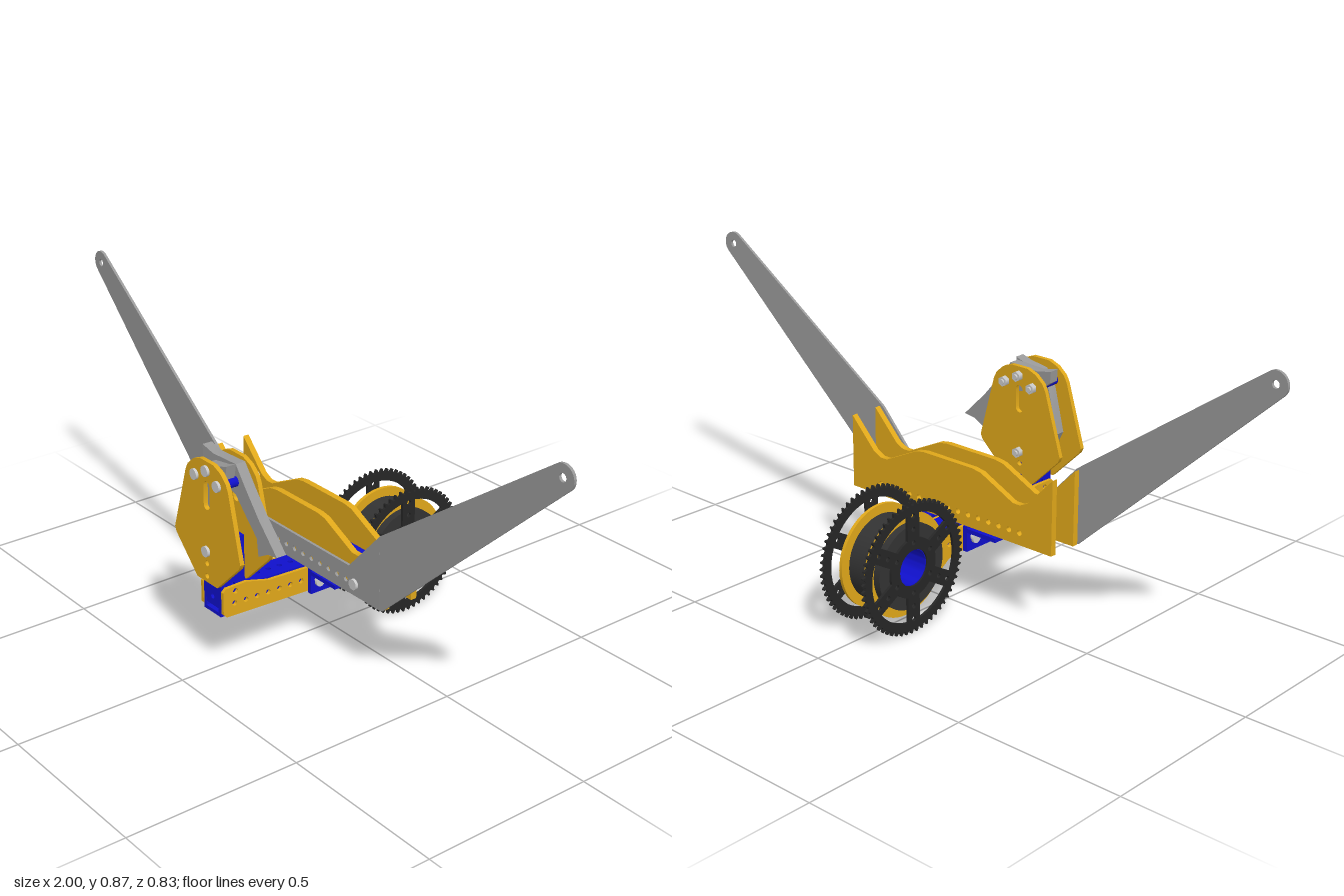
import * as THREE from 'three';
import { toCreasedNormals } from 'three/addons/utils/BufferGeometryUtils.js';

const mat = (color) => new THREE.MeshStandardMaterial({ color });
const GOLD = mat(0xe0a81a), BLUE = mat(0x1010cc), BLACK = mat(0x262626), DARK = mat(0x333333);
const ORANGE = mat(0xdd7711), SHEET = mat(0x999999), STEEL = mat(0xcccccc);
const STEP = 0.037; // hole spacing

const circle = (x, y, r) => new THREE.Path().absarc(x, y, r, 0, Math.PI * 2, true);
const polygon = (pts) => new THREE.Shape(pts.map(([x, y]) => new THREE.Vector2(x, y)));
const mirrored = (pts) => [...pts, ...pts.map(([x, y]) => [-x, y]).reverse()];
const arc = (cx, cy, r, a0, a1, n) => Array.from({ length: n + 1 }, (_, i) => {
  const a = a0 + (a1 - a0) * i / n;
  return [cx + r * Math.cos(a), cy + r * Math.sin(a)];
});

// Sheet cut from a shape in the xy plane, centred on z = 0
function plate(name, shape, holes, thickness, material) {
  shape.holes.push(...holes);
  const g = new THREE.ExtrudeGeometry(shape, { depth: thickness, bevelEnabled: false, curveSegments: 24 });
  g.translate(0, 0, -thickness / 2);
  const mesh = new THREE.Mesh(toCreasedNormals(g, 0.5), material);
  mesh.name = name;
  return mesh;
}

// Square perforated tube along local x
function beam(name, length, size) {
  const group = new THREE.Group(), wall = 0.01, h = size / 2;
  group.name = name;
  const n = Math.floor((length / 2 - 0.015) / STEP);
  for (let i = 0; i < 4; i++) {
    const holes = [];
    for (let k = -n; k <= n; k++) holes.push(circle(k * STEP, 0, 0.0075));
    const side = plate('beamWall', polygon([[-length / 2, -h], [length / 2, -h], [length / 2, h], [-length / 2, h]]), holes, wall, BLUE);
    const pivot = new THREE.Group();
    side.position.z = h - wall / 2;
    pivot.rotation.x = i * Math.PI / 2;
    pivot.add(side);
    group.add(pivot);
  }
  return group;
}

function box(name, size, pos, material) {
  const m = new THREE.Mesh(new THREE.BoxGeometry(...size), material);
  m.position.set(...pos);
  m.name = name;
  return m;
}

// Rod along z with a head in front and a nut at the back
function bolt(x, y, zBack, zFront, r) {
  const group = new THREE.Group();
  group.name = 'bolt';
  const cyl = (radius, z0, z1, sides) => {
    const m = new THREE.Mesh(new THREE.CylinderGeometry(radius, radius, z1 - z0, sides).rotateX(Math.PI / 2), STEEL);
    m.position.set(x, y, (z0 + z1) / 2);
    group.add(m);
  };
  cyl(r, zBack, zFront, 16);
  cyl(r * 1.9, zFront - 0.008, zFront, 16);
  cyl(r * 1.9, zBack + 0.005, zBack + 0.02, 6);
  return group;
}

// Toothed wheel with six spokes
function sprocket() {
  const teeth = 60, pts = [];
  for (let i = 0; i < teeth; i++) {
    [[0, 0.18], [0.3, 0.181], [0.5, 0.191], [0.7, 0.191], [0.9, 0.181]].forEach(([f, r]) => {
      const a = (i + f) / teeth * Math.PI * 2;
      pts.push([r * Math.cos(a), r * Math.sin(a)]);
    });
  }
  const holes = [circle(0, 0, 0.052)];
  for (let k = 0; k < 6; k++) {
    const mid = k * Math.PI / 3, inner = 0.085, outer = 0.156;
    const wi = Math.PI / 6 - Math.asin(0.022 / inner), wo = Math.PI / 6 - Math.asin(0.022 / outer);
    holes.push(polygon([...arc(0, 0, outer, mid - wo, mid + wo, 10), ...arc(0, 0, inner, mid + wi, mid - wi, 6)]));
    const s = mid + Math.PI / 6;
    for (const r of [0.073, 0.112, 0.15]) holes.push(circle(r * Math.cos(s), r * Math.sin(s), 0.007));
  }
  return plate('sprocket', polygon(pts), holes, 0.008, BLACK);
}

export function createModel() {
  const model = new THREE.Group();
  const barHoles = () => Array.from({ length: 15 }, (_, i) => circle((i - 7) * STEP, 0.28, 0.008));

  // Wing sheet: a bar across the middle and two arms folded slightly back
  const bar = plate('wingBar', polygon(mirrored([[0.36, 0.245], [0.36, 0.46], [0.235, 0.325]])), barHoles(), 0.008, SHEET);
  bar.position.z = 0.116;
  model.add(bar);
  for (const s of [1, -1]) {
    const arm = plate('wingArm', polygon([[0, 0.245], [0.01, 0.245], ...arc(0.605, 0.84, 0.035, -0.75, 2.18, 14), [0, 0.46]]),
      [circle(0.605, 0.84, 0.011)], 0.008, SHEET);
    const fold = new THREE.Group();
    fold.scale.x = s;
    fold.position.set(s * 0.36, 0, 0.116);
    arm.rotation.y = 0.033;
    fold.add(arm);
    model.add(fold);
    model.add(bolt(s * 7 * STEP, 0.28, 0.085, 0.128, 0.008));
  }

  // Gold body plates in front of and behind the cross beam
  for (const z of [0.101, 0.01]) {
    const p = plate('bodyPlate', polygon(mirrored([[0.37, 0.245], [0.37, 0.46], [0.285, 0.372], [0.26, 0.36], [0.235, 0.36], [0.12, 0.415], [0.09, 0.42]])),
      barHoles(), 0.018, GOLD);
    p.position.z = z;
    model.add(p);
  }
  const cross = beam('crossBeam', 0.6, 0.074);
  cross.position.set(0, 0.279, 0.057);
  model.add(cross, box('beamCore', [0.59, 0.053, 0.053], [0, 0.279, 0.057], ORANGE));
  model.add(box('beamPad', [0.44, 0.008, 0.075], [0, 0.238, 0.06], GOLD));

  // Spine and post
  const spine = beam('spine', 0.515, 0.076);
  spine.rotation.set(0, -Math.PI / 2, 0.035);
  spine.position.set(0, 0.207, 0.137);
  const post = beam('post', 0.2, 0.078);
  post.rotation.z = Math.PI / 2;
  post.position.set(0, 0.3, 0.355);
  model.add(spine, post);

  for (const s of [1, -1]) {
    // Gold side plates ending in round wheel cheeks
    const holes = [circle(-0.22, 0.197, 0.052), circle(0.355, 0.25, 0.008)];
    for (let k = -6; k <= 6; k++) holes.push(circle(0.137 + k * STEP, 0.207 + k * STEP * 0.035, 0.0075));
    const side = plate('sidePlate', polygon([[0.385, 0.18], [0.395, 0.19], [0.395, 0.255], [0.385, 0.265], [0.32, 0.266], [0.245, 0.246],
      [0.1, 0.24], [0, 0.237], [-0.05, 0.242], ...arc(-0.22, 0.197, 0.148, 0.45, Math.PI * 2 - 0.45, 48), [-0.05, 0.158], [0, 0.165]]),
      holes, 0.01, GOLD);
    side.rotation.y = -Math.PI / 2;
    side.position.x = s * 0.046;
    model.add(side);

    // Angle brackets joining spine and cross beam
    model.add(box('bracketWall', [0.014, 0.075, 0.11], [s * 0.06, 0.203, 0.06], BLUE));
    model.add(box('bracketFlange', [0.11, 0.012, 0.11], [s * 0.115, 0.229, 0.06], BLUE));
    for (const z of [0.027, 0.095]) {
      const b = bolt(0, 0, -0.025, 0.025, 0.008);
      b.rotation.y = s * Math.PI / 2;
      b.position.set(s * 0.06, 0.206, z);
      model.add(b);
    }

    const gear = sprocket();
    gear.rotation.y = -Math.PI / 2;
    gear.position.set(s * 0.077, 0.197, -0.22);
    model.add(gear);
  }
  // Drum between the sprockets, lined in blue
  const round = (r) => new THREE.Shape().absarc(0, 0, r, 0, Math.PI * 2);
  for (const [name, r, hole, width, m] of [['drum', 0.121, 0.056, 0.146, DARK], ['drumLiner', 0.056, 0.05, 0.152, BLUE]]) {
    const d = plate(name, round(r), [circle(0, 0, hole)], width, m);
    d.rotation.y = -Math.PI / 2;
    d.position.set(0, 0.197, -0.22);
    model.add(d);
  }

  // Head: two gold plates with a pair of claws bolted between them
  const head = new THREE.Group();
  head.name = 'head';
  head.rotation.x = -0.025;
  head.position.set(0, 0.445, 0.352);
  const place = (mesh, z) => { mesh.position.set(0, -0.445, z); head.add(mesh); };
  for (const z of [0.047, -0.047]) {
    const slot = polygon([...arc(0, 0.55, 0.013, 0, Math.PI, 8), ...arc(0, 0.495, 0.013, Math.PI, Math.PI * 2, 8)]);
    place(plate('headPlate', polygon(mirrored([[0.045, 0.272], [0.142, 0.366], [0.148, 0.38], [0.095, 0.565], [0.085, 0.585], [0.06, 0.607], [0.03, 0.619]])),
      [slot, circle(0, 0.327, 0.008), circle(0, 0.29, 0.008)], 0.013, GOLD), z);
  }
  const claw = [[-0.045, 0.55], [-0.095, 0.585], [-0.098, 0.62], [-0.05, 0.61], [0.05, 0.615], [0.09, 0.565], [0.15, 0.495],
    [0.228, 0.418], [0.19, 0.412], [0.15, 0.39], [0.142, 0.44], [0.1, 0.48], [0.05, 0.53]];
  place(plate('openClaw', polygon(claw.slice().reverse()), [], 0.03, SHEET), -0.018);
  place(plate('closedClaw', polygon([[-0.03, 0.6], [-0.06, 0.55], [-0.09, 0.42], [-0.06, 0.36], [0.02, 0.37], [-0.02, 0.42], [0, 0.5],
    [0.05, 0.56], [0.06, 0.62], [0.03, 0.61]]), [], 0.03, SHEET), 0.018);
  for (const [x, y] of [[0, 0.593], [-0.05, 0.567], [0.05, 0.567], [0, 0.363]]) {
    const b = bolt(x, y, -0.075, 0.062, 0.008);
    place(b, 0);
    if (x) {
      const spacer = new THREE.Mesh(new THREE.CylinderGeometry(0.014, 0.014, 0.08, 20).rotateX(Math.PI / 2), BLUE);
      spacer.name = 'spacer';
      spacer.position.set(x, y - 0.445, 0);
      head.add(spacer);
    }
  }
  model.add(head);
  return model;
}
